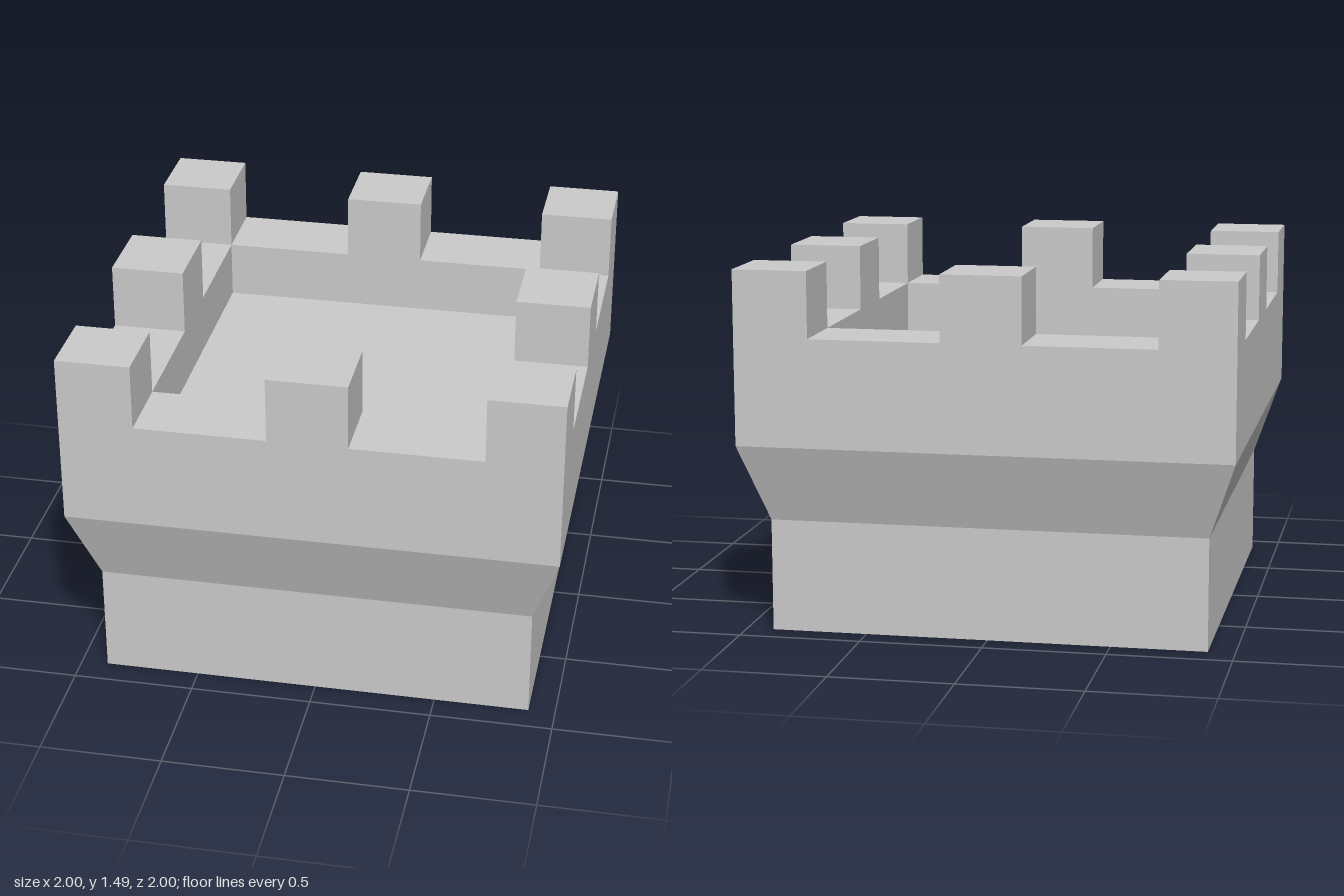
import * as THREE from 'three';

const OUT = 1, IN = 0.697, BASE = 0.89;            // half widths
const Y_BASE = 0.46, Y_WALL = 0.78, Y_FLOOR = 0.98, Y_RIM = 1.22, Y_TOP = 1.49;

export function createModel() {
  const group = new THREE.Group();
  group.name = 'castleTower';
  const material = new THREE.MeshStandardMaterial({ color: 0xcccccc, flatShading: true });

  const add = (name, geometry, x = 0, y = 0, z = 0) => {
    const mesh = new THREE.Mesh(geometry, material);
    mesh.name = name;
    mesh.position.set(x, y, z);
    group.add(mesh);
  };

  // Square shell: a four-sided lathe through [half width, height] points
  const squareShell = (name, profile) => {
    const points = profile.map(([half, y]) => new THREE.Vector2(half * Math.SQRT2, y));
    const geometry = new THREE.LatheGeometry(points, 4, Math.PI / 4).toNonIndexed();
    geometry.computeVertexNormals();
    add(name, geometry);
  };

  squareShell('base', [[0, 0], [BASE, 0], [BASE, Y_BASE]]);
  squareShell('flaredCorbel', [[BASE, Y_BASE], [OUT, Y_WALL]]);
  squareShell('parapetWall', [[OUT, Y_WALL], [OUT, Y_RIM], [IN, Y_RIM], [IN, Y_FLOOR]]);
  squareShell('floor', [[IN, Y_FLOOR], [0, Y_FLOOR]]);

  // Merlons at the corners and the middle of each side
  const thick = OUT - IN, mid = 0.325, height = Y_TOP - Y_RIM;
  const offset = (OUT + IN) / 2;
  for (const i of [-1, 0, 1]) {
    for (const k of [-1, 0, 1]) {
      if (i === 0 && k === 0) continue;
      const geometry = new THREE.BoxGeometry(i ? thick : mid, height, k ? thick : mid);
      add(i && k ? 'cornerMerlon' : 'sideMerlon', geometry, i * offset, Y_RIM + height / 2, k * offset);
    }
  }
  return group;
}
